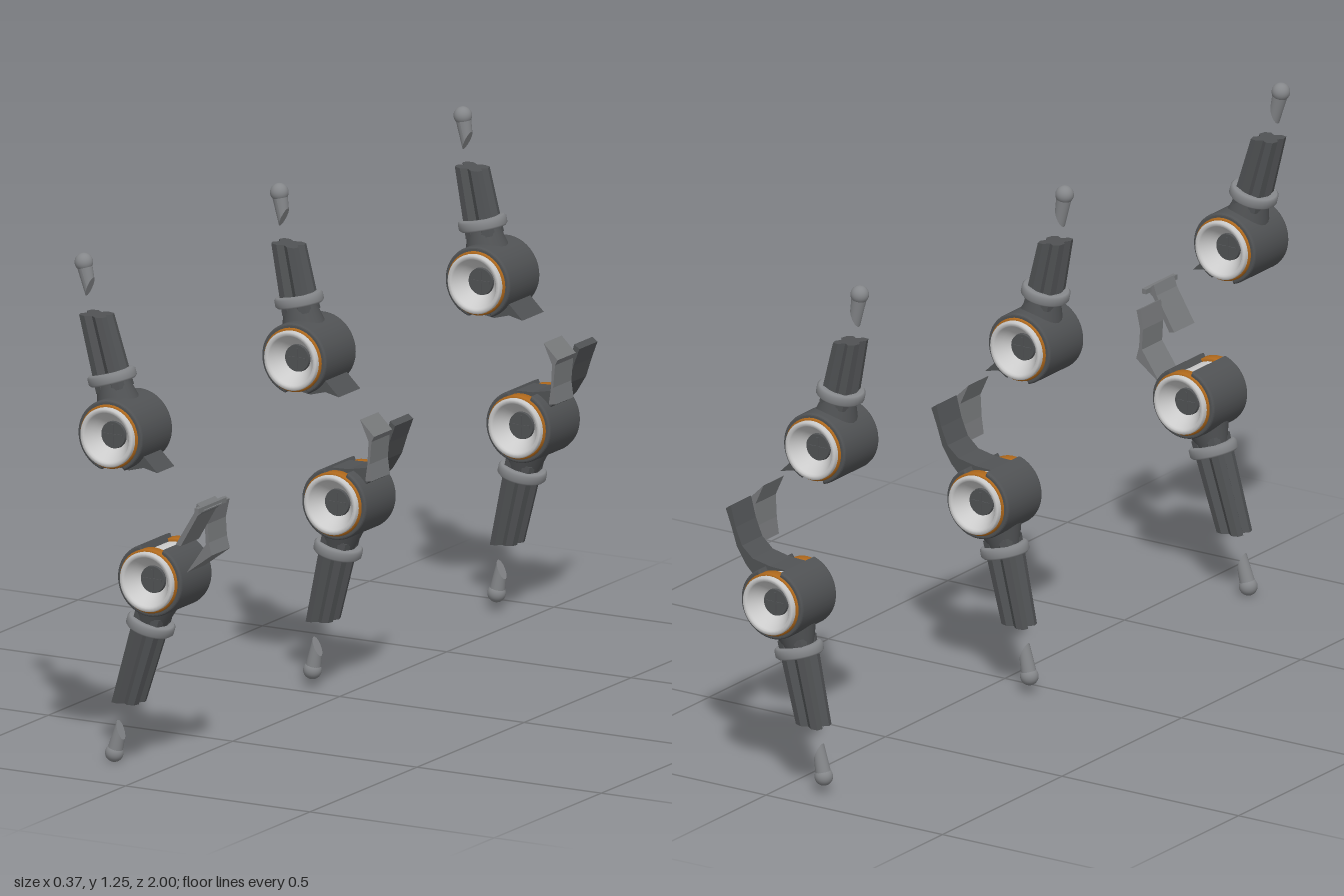
import * as THREE from 'three';

const paint = (color, flat = false) => new THREE.MeshStandardMaterial({ color, flatShading: flat, side: THREE.DoubleSide });
const dark = paint(0x505254), darkFlat = paint(0x505254, true), light = paint(0xcccccc);
const mid = paint(0x85878a), plateGrey = paint(0x77797b, true), orange = paint(0xb0691c);
const rad = THREE.MathUtils.degToRad;

function add(parent, name, geometry, material, x = 0, y = 0, z = 0) {
  const mesh = new THREE.Mesh(geometry, material);
  mesh.name = name;
  mesh.position.set(x, y, z);
  parent.add(mesh);
  return mesh;
}

// Lathe turned so that its axis runs along z
const latheZ = (pts, seg = 40) =>
  new THREE.LatheGeometry(pts.map(p => new THREE.Vector2(...p)), seg).rotateX(Math.PI / 2);

// Side outline in x/y, extruded to a width centred on z = 0
function slab(points, width) {
  const shape = new THREE.Shape(points.map(p => new THREE.Vector2(...p)));
  return new THREE.ExtrudeGeometry(shape, { depth: width, bevelEnabled: false }).translate(0, 0, -width / 2);
}

// Barrel shell with a slot along one side
function shellGeometry() {
  const a = rad(-62), b = rad(250), shape = new THREE.Shape();
  shape.absarc(0, 0, 0.082, a, b, false);
  shape.absarc(0, 0, 0.074, b, a, true);
  return new THREE.ExtrudeGeometry(shape, {
    depth: 0.132, bevelSize: 0.005, bevelThickness: 0.007, bevelSegments: 3, curveSegments: 48,
  }).translate(0, 0, -0.066);
}

function makeDrum() {
  const drum = new THREE.Group();
  drum.name = 'drum';
  add(drum, 'shell', shellGeometry(), dark);
  add(drum, 'core', latheZ([[0.069, -0.07], [0.069, 0.07]]), light);
  for (const s of [-1, 1]) {
    const end = new THREE.Group();
    end.name = s > 0 ? 'frontEnd' : 'backEnd';
    if (s < 0) end.rotation.y = Math.PI;
    drum.add(end);
    add(end, 'orangeBand', latheZ([[0.069, 0.05], [0.077, 0.05], [0.077, 0.077], [0.069, 0.077]]), orange);
    add(end, 'funnel', latheZ([[0.071, 0.07], [0.072, 0.086], [0.069, 0.09], [0.062, 0.09],
      [0.059, 0.085], [0.048, 0.068], [0.033, 0.05]]), light);
    add(end, 'hubCap', new THREE.CylinderGeometry(0.032, 0.034, 0.014, 28).rotateX(Math.PI / 2), dark, 0, 0, 0.05);
    add(end, 'crossSlot', new THREE.BoxGeometry(0.05, 0.006, 0.003), darkFlat, 0, 0, 0.058);
    add(end, 'crossSlot', new THREE.BoxGeometry(0.006, 0.05, 0.003), darkFlat, 0, 0, 0.058);
  }
  return drum;
}

// Ribbed arm: four corner ribs with a groove down each side and a slanted tip
function armGeometry(from, to) {
  const geo = new THREE.CylinderGeometry(1, 1, 1, 16, 5);
  const p = geo.attributes.position;
  for (let i = 0; i < p.count; i++) {
    const t = p.getY(i) + 0.5;
    const step = Math.round(Math.atan2(p.getZ(i), p.getX(i)) / (Math.PI / 8) + 16) % 4;
    const r = (step === 0 ? 0.026 : step === 2 ? 0.047 : 0.041) * (1 - 0.12 * t);
    const x = p.getX(i) * r, z = p.getZ(i) * r;
    p.setXYZ(i, x, from + (to - from) * t - 0.3 * x * t, z);
  }
  geo.computeVertexNormals();
  return geo;
}

// Knob with a short stem that is cut off at a slant
function makeKnob() {
  const knob = new THREE.Group();
  knob.name = 'knob';
  add(knob, 'ball', new THREE.SphereGeometry(0.022, 24, 16), mid);
  const stem = new THREE.CylinderGeometry(0.019, 0.015, 0.06, 20);
  const p = stem.attributes.position;
  for (let i = 0; i < p.count; i++) if (p.getY(i) < 0) p.setY(i, p.getY(i) + 1.3 * p.getX(i));
  stem.computeVertexNormals();
  add(knob, 'stem', stem, mid, 0, -0.03, 0);
  return knob;
}

function makeUnit(name, angle, tip, knobAt) {
  const unit = new THREE.Group(), limb = new THREE.Group();
  unit.name = name;
  limb.name = 'limb';
  limb.rotation.z = rad(angle);
  unit.add(makeDrum(), limb);
  add(limb, 'neck', new THREE.CylinderGeometry(0.037, 0.054, 0.06, 24), dark, 0, 0.092, 0);
  const collar = [[0.04, -0.013], [0.053, -0.013], [0.058, -0.008], [0.058, 0.008], [0.053, 0.013], [0.04, 0.013]];
  add(limb, 'collar', new THREE.LatheGeometry(collar.map(c => new THREE.Vector2(...c)), 32), mid, 0, 0.13, 0);
  add(limb, 'arm', armGeometry(0.1, tip), darkFlat);
  const knob = makeKnob();
  knob.position.y = knobAt;
  limb.add(knob);
  return unit;
}

// Outlines of the hooks and loose plates between the drums
const stub = [[-0.06, 0.757], [-0.02, 0.77], [0.015, 0.795], [0.03, 0.78], [0.057, 0.754], [0.02, 0.762], [-0.02, 0.751]];
const hook = [[-0.03, 0.55], [0.02, 0.552], [0.07, 0.562], [0.1, 0.588], [0.118, 0.63], [0.132, 0.682],
  [0.146, 0.672], [0.13, 0.63], [0.115, 0.585], [0.09, 0.545], [0.065, 0.52], [0.02, 0.54]];
const loosePlate = [[0.11, 0.705], [0.148, 0.668], [0.141, 0.655], [0.136, 0.6], [0.142, 0.56],
  [0.124, 0.558], [0.13, 0.6], [0.133, 0.655]];
const brokenHook = [[0.08, 0.495], [0.148, 0.545], [0.14, 0.575], [0.137, 0.62], [0.147, 0.665],
  [0.135, 0.67], [0.129, 0.62], [0.132, 0.57]];
const leaningPlate = [[0.108, 0.588], [0.122, 0.586], [0.168, 0.665], [0.186, 0.68], [0.166, 0.695], [0.158, 0.67]];

export function createModel() {
  const model = new THREE.Group();
  model.name = 'drumPairs';
  const pairs = [
    { upZ: 0.91, lowZ: 0.81, broken: true },
    { upZ: 0.052, lowZ: -0.05 },
    { upZ: -0.805, lowZ: -0.91 },
  ];
  pairs.forEach(({ upZ, lowZ, broken }, i) => {
    const pair = new THREE.Group();
    pair.name = 'pair' + (i + 1);
    model.add(pair);
    const upper = makeUnit('upperUnit', broken ? 16 : 12, broken ? 0.282 : 0.265, broken ? 0.408 : 0.388);
    upper.position.set(-0.053, 0.836, upZ);
    // The lower unit is the upper one mirrored
    const lower = makeUnit('lowerUnit', broken ? 17 : 13, broken ? 0.333 : 0.312, broken ? 0.468 : 0.44);
    lower.position.set(-0.004, 0.471, lowZ);
    lower.scale.y = -1;
    pair.add(upper, lower);

    add(pair, 'upperStub', slab(stub, broken ? 0.08 : 0.1), darkFlat, 0, 0, upZ);
    if (broken) {
      add(pair, 'lowerHook', slab(brokenHook, 0.085), plateGrey, 0, 0, lowZ);
      add(pair, 'leaningPlate', slab(leaningPlate, 0.085), plateGrey, 0, 0, upZ);
      add(pair, 'crossBar', new THREE.BoxGeometry(0.012, 0.012, 0.13), plateGrey, 0.178, 0.683, upZ);
    } else {
      add(pair, 'lowerHook', slab(hook, 0.085), darkFlat, 0, 0, lowZ);
      add(pair, 'loosePlate', slab(loosePlate, 0.085), plateGrey, 0, 0, upZ);
    }
  });
  return model;
}
